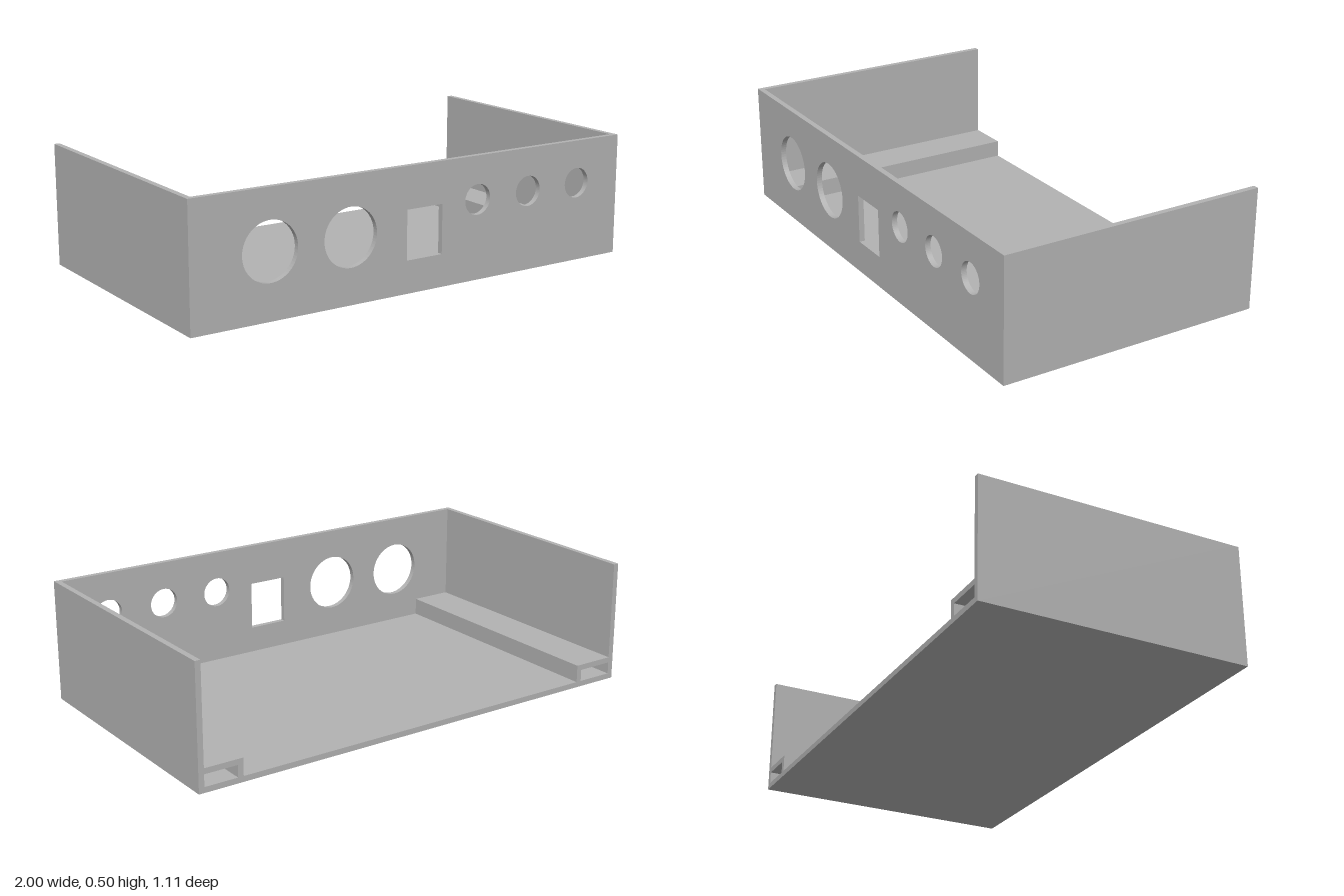
import * as THREE from 'three';

const WALL = 0.023;      // sheet thickness
const HEIGHT = 0.5;
const HALF_DEPTH = 0.555;
const RAIL_TOP = 0.095;

// Closed path for a rectangle given by its edges
function rect(PathType, x0, y0, x1, y1) {
  return new PathType([
    new THREE.Vector2(x0, y0), new THREE.Vector2(x1, y0),
    new THREE.Vector2(x1, y1), new THREE.Vector2(x0, y1),
  ]);
}

// Extrude a front-facing shape from z0 to z1
function extrude(shape, z0, z1, name, material) {
  const geometry = new THREE.ExtrudeGeometry(shape, {
    depth: z1 - z0, bevelEnabled: false, curveSegments: 32,
  });
  geometry.translate(0, 0, z0);
  const mesh = new THREE.Mesh(geometry, material);
  mesh.name = name;
  return mesh;
}

export function createModel() {
  const group = new THREE.Group();
  group.name = 'enclosure';
  const grey = new THREE.MeshStandardMaterial({ color: 0xb2b2b2 });
  grey.name = 'grey';

  // Floor, side walls and the two hollow rails share one cross-section
  const inner = 1 - WALL;
  const railL = 0.815, railR = -0.8;
  const section = new THREE.Shape([
    [-1, 0], [1, 0], [1, HEIGHT], [inner, HEIGHT],
    [inner, RAIL_TOP], [railL, RAIL_TOP], [railL, WALL],
    [railR, WALL], [railR, RAIL_TOP], [-inner, RAIL_TOP],
    [-inner, HEIGHT], [-1, HEIGHT],
  ].map(([x, y]) => new THREE.Vector2(x, y)));
  section.holes.push(
    rect(THREE.Path, railL + WALL, WALL, inner, RAIL_TOP - WALL),
    rect(THREE.Path, -inner, WALL, railR - WALL, RAIL_TOP - WALL),
  );
  group.add(extrude(section, -HALF_DEPTH, HALF_DEPTH - WALL, 'trayWithRails', grey));

  // Front panel with two large ports, a square cutout and three small ports
  const panel = rect(THREE.Shape, -1, 0, 1, HEIGHT);
  const ports = [
    [-0.671, 0.262, 0.117], [-0.324, 0.262, 0.117],
    [0.27, 0.325, 0.0615], [0.524, 0.325, 0.0615], [0.78, 0.325, 0.0615],
  ];
  for (const [x, y, r] of ports) {
    panel.holes.push(new THREE.Path().absarc(x, y, r, 0, Math.PI * 2, true));
  }
  panel.holes.push(rect(THREE.Path, -0.068, 0.132, 0.098, 0.331));
  group.add(extrude(panel, HALF_DEPTH - WALL, HALF_DEPTH, 'frontPanel', grey));

  return group;
}
